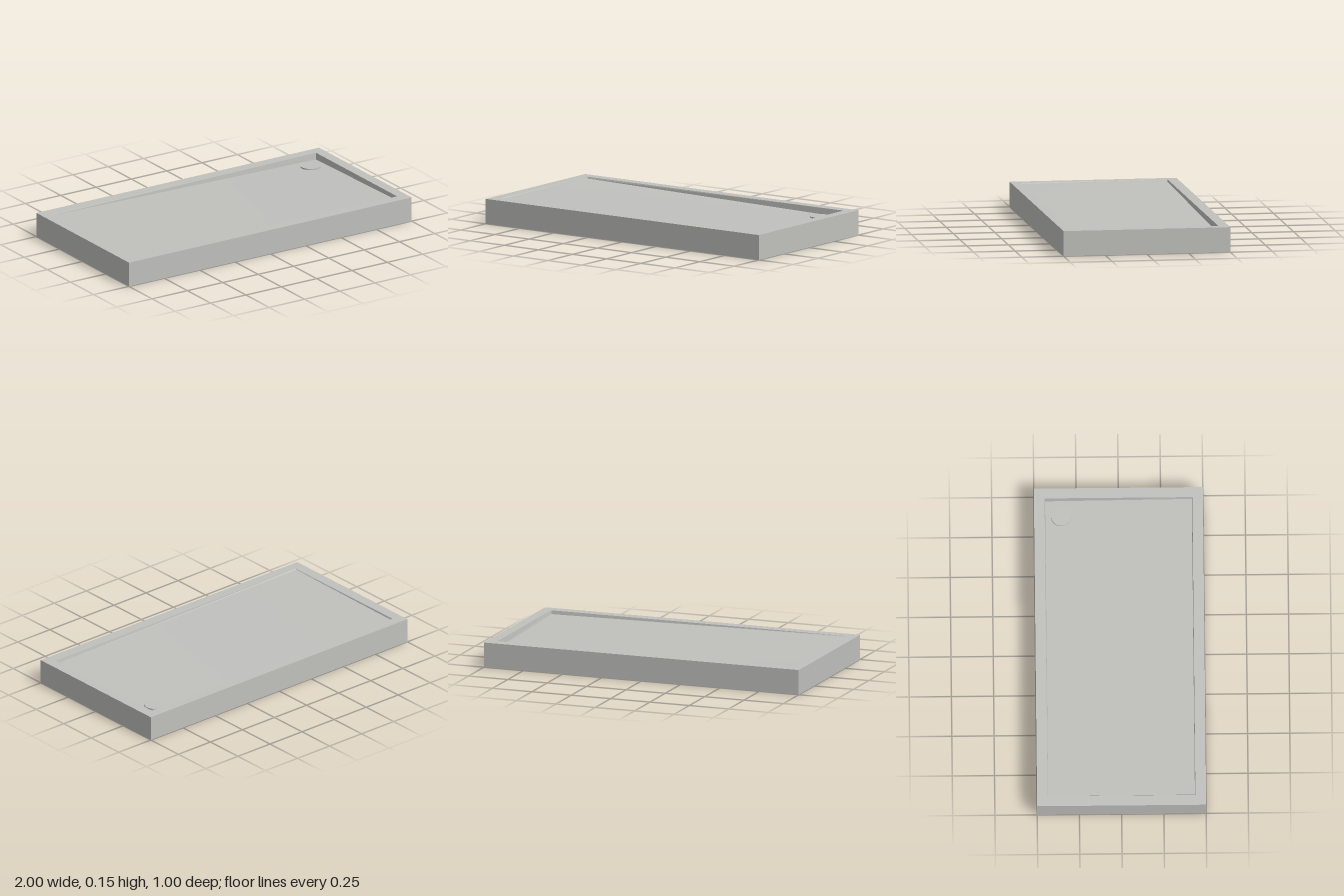
import * as THREE from 'three';

const TOP = 0.15;

// Open strip joining two four-cornered loops; each quad has its own corners for sharp edges
function strip(upper, lower) {
  const pos = [];
  for (let i = 0; i < 4; i++) {
    const j = (i + 1) % 4;
    for (const p of [upper[i], lower[i], lower[j], upper[i], lower[j], upper[j]]) pos.push(...p);
  }
  const g = new THREE.BufferGeometry();
  g.setAttribute('position', new THREE.Float32BufferAttribute(pos, 3));
  g.computeVertexNormals();
  return g;
}

// Rectangular loop seen from above: back left, front left, front right, back right on the grid
function loop(x, z, height) {
  return [[-x, -z], [-x, z], [x, z], [x, -z]].map(([a, b]) => [a, height(a, b), b]);
}

export function createModel() {
  const group = new THREE.Group();
  const grey = new THREE.MeshStandardMaterial({ color: 0xc0c0bd, side: THREE.DoubleSide });
  grey.name = 'light grey';
  const add = (name, geometry) => {
    const m = new THREE.Mesh(geometry, grey);
    m.name = name;
    group.add(m);
    return m;
  };

  // Floor height falls gently towards the drain corner
  const fall = (x, z) => {
    const u = (x + 0.934) / 1.868, v = (0.434 - z) / 0.868;
    return 0.146 - 0.018 * u - 0.006 * v - 0.013 * u * v;
  };
  const flat = (y) => () => y;

  // Thin outer skirt, open underneath
  const outer = loop(1, 0.5, flat(TOP));
  add('outerWalls', strip(outer, loop(1, 0.5, flat(0))));

  // Flat rim and the shallow walls down to the floor
  const opening = loop(0.9375, 0.4375, flat(TOP));
  const floorEdge = loop(0.934, 0.434, fall);
  add('rim', strip(outer, opening));
  add('basinWalls', strip(opening, floorEdge));

  // Sloping floor
  const floor = new THREE.PlaneGeometry(1.868, 0.868, 12, 6).rotateX(-Math.PI / 2);
  const p = floor.attributes.position;
  for (let i = 0; i < p.count; i++) p.setY(i, fall(p.getX(i), p.getZ(i)));
  floor.computeVertexNormals();
  add('floor', floor);

  // Round drain cover standing just above the floor
  const drain = add('drainCover', new THREE.CylinderGeometry(0.06, 0.06, 0.02, 48));
  drain.position.set(0.835, 0.112, -0.34);

  return group;
}
